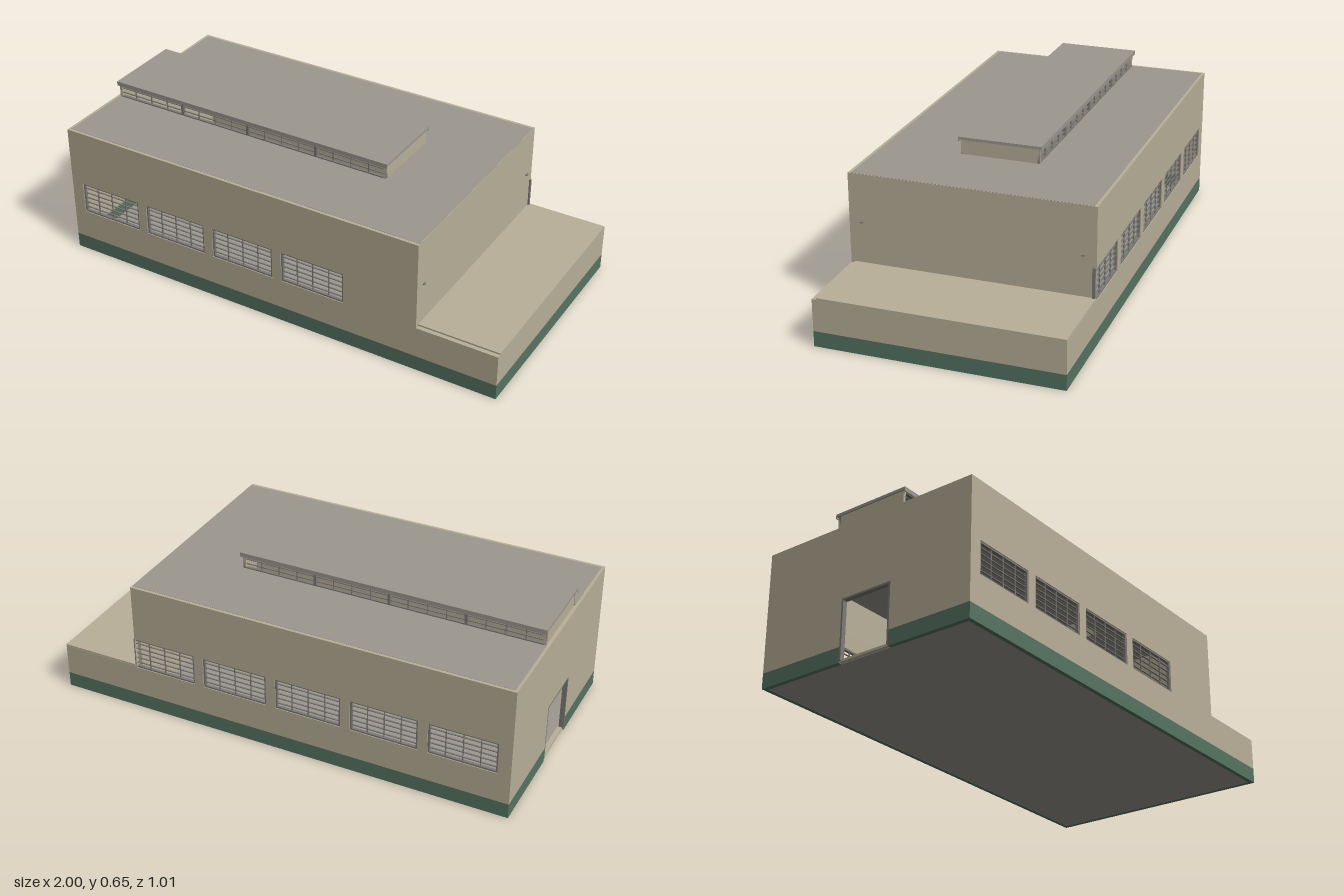
import * as THREE from 'three';

const mat = (name, hex) => {
  const m = new THREE.MeshStandardMaterial({ color: hex });
  m.name = name;
  return m;
};

export function createModel() {
  const root = new THREE.Group();
  root.name = 'factoryHall';
  const wall = mat('tan plaster', 0xb9b098);
  const green = mat('green base paint', 0x567462);
  const grey = mat('grey concrete', 0x9c988f);
  const steel = mat('window steel', 0x7c7a75);

  // Box given by its minimum and maximum corners
  const box = (name, m, x0, x1, y0, y1, z0, z1, parent = root) => {
    const mesh = new THREE.Mesh(new THREE.BoxGeometry(x1 - x0, y1 - y0, z1 - z0), m);
    mesh.position.set((x0 + x1) / 2, (y0 + y1) / 2, (z0 + z1) / 2);
    mesh.name = name;
    parent.add(mesh);
    return mesh;
  };

  const W = 0.505, T = 0.018, BAND = 0.065, TOP = 0.58, STEP = 0.652, LOW = 0.2;
  const SILL = 0.195, HEAD = 0.332;
  const DOOR0 = -0.11, DOOR1 = 0.13, DOORTOP = 0.265;

  // Long walls: stepped outline with a row of window openings
  const longWall = (name, z0, count) => {
    const s = new THREE.Shape();
    s.moveTo(-1, BAND);
    s.lineTo(1, BAND);
    s.lineTo(1, LOW);
    s.lineTo(STEP, LOW);
    s.lineTo(STEP, TOP);
    s.lineTo(-1, TOP);
    s.closePath();
    for (let i = 0; i < count; i++) {
      const x0 = -0.945 + i * 0.329, x1 = Math.min(x0 + 0.287, STEP - 0.003);
      const h = new THREE.Path();
      h.moveTo(x0, SILL);
      h.lineTo(x0, HEAD);
      h.lineTo(x1, HEAD);
      h.lineTo(x1, SILL);
      h.closePath();
      s.holes.push(h);
    }
    const mesh = new THREE.Mesh(new THREE.ExtrudeGeometry(s, { depth: T, bevelEnabled: false }), wall);
    mesh.position.z = z0;
    mesh.name = name;
    root.add(mesh);
  };
  longWall('frontWall', W - T, 4);
  longWall('backWall', -W, 5);

  // Steel window: outer frame and glazing bars
  const steelWindow = (name, x0, x1, y0, y1, z, cols, rows, f) => {
    const g = new THREE.Group();
    g.name = name;
    const d = 0.006, b = 0.0016;
    box('frameBottom', steel, x0, x1, y0, y0 + f, z - d, z + d, g);
    box('frameTop', steel, x0, x1, y1 - f, y1, z - d, z + d, g);
    box('frameSide', steel, x0, x0 + f, y0 + f, y1 - f, z - d, z + d, g);
    box('frameSide', steel, x1 - f, x1, y0 + f, y1 - f, z - d, z + d, g);
    for (let i = 1; i < cols; i++) {
      const x = x0 + (x1 - x0) * i / cols;
      box('verticalBar', steel, x - b, x + b, y0 + f, y1 - f, z - 0.003, z + 0.003, g);
    }
    for (let j = 1; j < rows; j++) {
      const y = y0 + (y1 - y0) * j / rows;
      box('crossBar', steel, x0 + f, x1 - f, y - b, y + b, z - 0.003, z + 0.003, g);
    }
    root.add(g);
  };
  for (const side of [1, -1]) {
    for (let i = 0; i < (side > 0 ? 4 : 5); i++) {
      const x0 = -0.945 + i * 0.329;
      steelWindow('wallWindow', x0, x0 + 0.287, SILL, HEAD, side * (W - 0.0095), 4, 6, 0.007);
    }
  }

  // End wall with the open doorway, and the wall above the annex
  const I = W - T;
  box('leftEndWallBack', wall, -1, -1 + T, BAND, TOP, -I, DOOR0);
  box('leftEndWallFront', wall, -1, -1 + T, BAND, TOP, DOOR1, I);
  box('doorHeadWall', wall, -1, -1 + T, DOORTOP, TOP, DOOR0, DOOR1);
  box('hallEndWall', wall, STEP - T, STEP, 0.01, TOP, -I, I);

  // Doorway lining
  box('doorJamb', steel, -1.0, -0.98, 0.01, DOORTOP, DOOR0, DOOR0 + 0.008);
  box('doorJamb', steel, -1.0, -0.98, 0.01, DOORTOP, DOOR1 - 0.008, DOOR1);
  box('doorLintel', steel, -1.0, -0.98, DOORTOP - 0.008, DOORTOP, DOOR0 + 0.008, DOOR1 - 0.008);
  box('doorSill', wall, -0.995, -0.975, 0.004, 0.014, DOOR0, DOOR1);

  // Painted base course, broken at the doorway
  box('baseFront', green, -1, 1, 0, BAND, I, W);
  box('baseBack', green, -1, 1, 0, BAND, -W, -I);
  box('baseRight', green, 1 - T, 1, 0, BAND, -I, I);
  box('baseLeftBack', green, -1, -1 + T, 0, BAND, -I, DOOR0);
  box('baseLeftFront', green, -1, -1 + T, 0, BAND, DOOR1, I);
  box('floor', grey, -1 + T, 1 - T, 0.001, 0.01, -I, I);

  // Low annex
  box('annexEndWall', wall, 1 - T, 1, BAND, LOW, -I, I);
  box('annexRoof', wall, STEP, 1, 0.19, 0.207, -W + 0.001, I);

  // Main roof with an opening below the roof light
  const RX0 = -0.985, RX1 = 0.322, RZ = 0.165;
  const r0 = TOP - 0.02, r1 = TOP + 0.001;
  box('roofFront', grey, -0.988, STEP - 0.002, r0, r1, RZ, W - 0.013);
  box('roofBack', grey, -0.988, STEP - 0.002, r0, r1, -W + 0.013, -RZ);
  box('roofRight', grey, RX1, STEP - 0.002, r0, r1, -RZ, RZ);

  // Raised roof light: end walls, window strips and cap with a lip
  box('roofLightEnd', wall, RX1 - 0.012, RX1, r0, 0.644, -RZ, RZ);
  box('roofLightEnd', wall, RX0, RX0 + 0.012, r0, 0.644, -RZ, RZ);
  box('roofLightCap', grey, -0.99, 0.33, 0.643, 0.655, -0.175, 0.175);
  for (const s of [1, -1]) {
    box('capLip', grey, -0.99, 0.33, 0.636, 0.643, s * 0.1725 - 0.0025, s * 0.1725 + 0.0025);
    for (let i = 0; i < 4; i++) {
      const w = (RX1 - RX0) / 4, x0 = RX0 + i * w;
      steelWindow('roofLightWindow', x0, x0 + w, TOP, 0.643, s * (RZ - 0.006), 4, 3, 0.006);
    }
  }

  // Small fittings on the wall above the annex
  for (const z of [0.453, -0.453]) {
    box('wallFitting', steel, STEP, STEP + 0.007, 0.376, 0.381, z - 0.007, z + 0.007);
  }
  return root;
}
